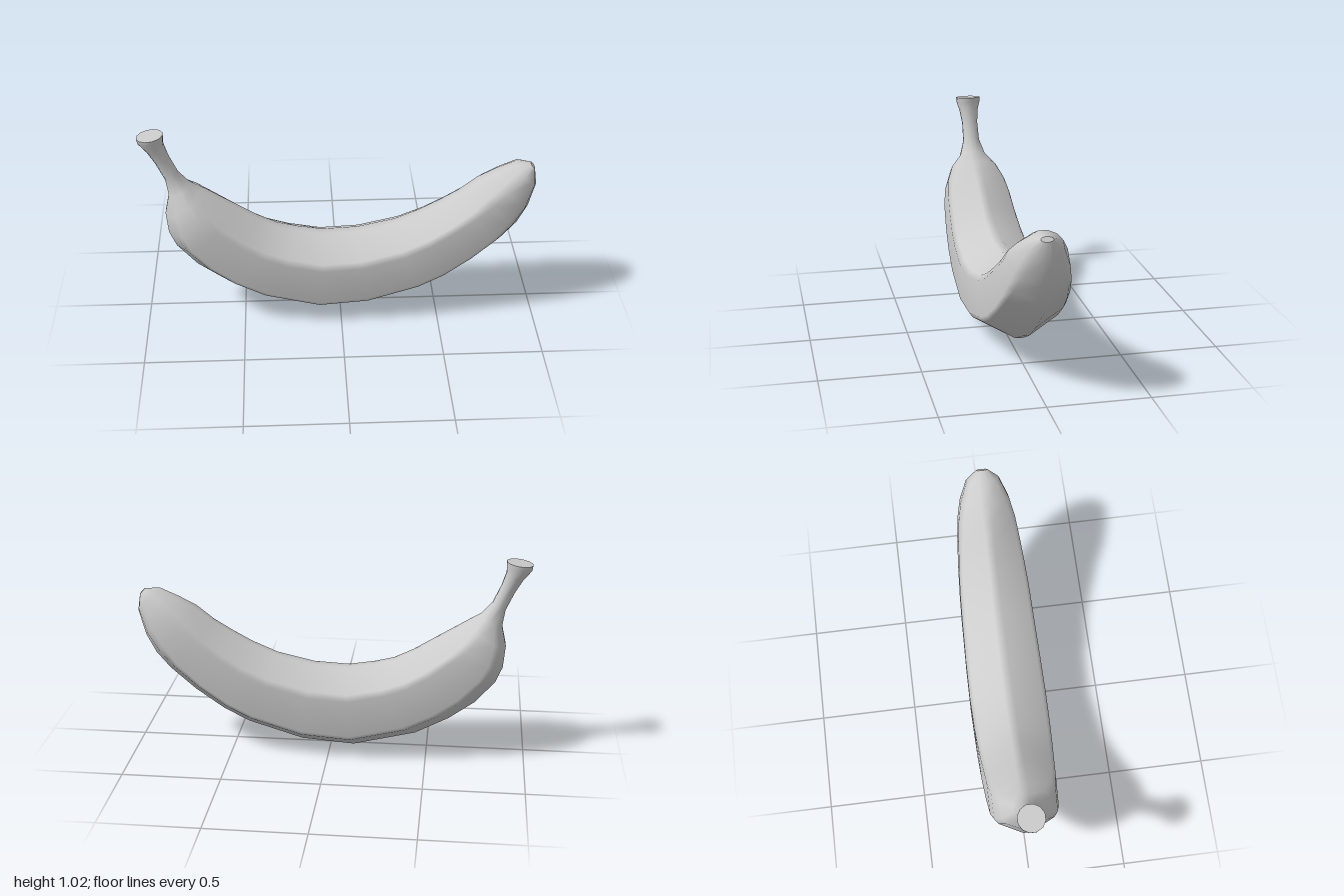
import * as THREE from 'three';

// Half outlines from outer ridge to inner ridge: [position across 0..1, half width 0..1]
const ridged = [[0, 0.1], [0.225, 0.92], [0.28, 1], [0.72, 1], [0.79, 0.9], [1, 0.12]];
const round = ridged.map((_, i) => {
  const a = THREE.MathUtils.degToRad(15 + 30 * i);
  return [0.5 - 0.52 * Math.cos(a), Math.sin(a)];
});

// One closed ring between an outer point and an inner point of the side outline
function ring([ox, oy, ix, iy, halfWidth, ridge]) {
  const half = ridged.map(([t, w], i) => [
    THREE.MathUtils.lerp(round[i][0], t, ridge),
    THREE.MathUtils.lerp(round[i][1], w, ridge),
  ]);
  const point = ([t, w], side) => new THREE.Vector3(
    ox + (ix - ox) * t, oy + (iy - oy) * t, side * w * halfWidth);
  return [...half.map((p) => point(p, 1)), ...half.slice().reverse().map((p) => point(p, -1))];
}

// Smooth skin through a list of rings
function skin(rings) {
  const n = rings[0].length, index = [];
  for (let r = 0; r < rings.length - 1; r++) {
    for (let i = 0; i < n; i++) {
      const a = r * n + i, b = r * n + (i + 1) % n;
      index.push(a, a + n, b, b, a + n, b + n);
    }
  }
  const g = new THREE.BufferGeometry().setFromPoints(rings.flat());
  g.setIndex(index);
  g.computeVertexNormals();
  return g;
}

// Flat end over one ring
function cap(points, flip) {
  const n = points.length, index = [];
  const centre = points.reduce((s, p) => s.add(p), new THREE.Vector3()).divideScalar(n);
  for (let i = 0; i < n; i++) {
    const j = (i + 1) % n;
    index.push(n, flip ? j : i, flip ? i : j);
  }
  const g = new THREE.BufferGeometry().setFromPoints([...points, centre]);
  g.setIndex(index);
  g.computeVertexNormals();
  return g;
}

export function createModel() {
  const group = new THREE.Group();
  group.name = 'banana';
  const material = new THREE.MeshStandardMaterial({ color: 0xcccccc, side: THREE.DoubleSide });

  // Stations: outer x, outer y, inner x, inner y, half width, ridge amount
  const stations = [
    // stem
    [-1.0, 1.012, -0.872, 1.028, 0.067, 0],
    [-0.995, 0.985, -0.872, 1.005, 0.065, 0],
    [-0.955, 0.935, -0.872, 0.97, 0.052, 0],
    [-0.918, 0.87, -0.85, 0.9, 0.043, 0],
    [-0.875, 0.775, -0.81, 0.81, 0.045, 0],
    // shoulder
    [-0.862, 0.69, -0.755, 0.745, 0.07, 0.2],
    [-0.885, 0.585, -0.7, 0.71, 0.125, 0.5],
    [-0.875, 0.47, -0.62, 0.66, 0.16, 0.8],
    // body
    [-0.84, 0.385, -0.53, 0.605, 0.173, 1],
    [-0.74, 0.27, -0.42, 0.535, 0.182, 1],
    [-0.61, 0.175, -0.32, 0.485, 0.19, 1],
    [-0.44, 0.085, -0.22, 0.46, 0.196, 1],
    [-0.12, 0.005, -0.09, 0.438, 0.2, 1],
    [0.15, 0.025, 0.09, 0.447, 0.197, 1],
    [0.43, 0.11, 0.28, 0.49, 0.19, 1],
    [0.56, 0.175, 0.41, 0.545, 0.184, 1],
    [0.71, 0.28, 0.51, 0.6, 0.174, 1],
    [0.84, 0.395, 0.61, 0.66, 0.162, 0.9],
    [0.91, 0.48, 0.7, 0.73, 0.15, 0.7],
    [0.96, 0.58, 0.79, 0.775, 0.13, 0.4],
    [0.995, 0.71, 0.89, 0.82, 0.088, 0.1],
    // blunt tip
    [0.985, 0.795, 0.965, 0.815, 0.03, 0],
  ];
  const rings = stations.map(ring);

  const add = (name, geometry) => {
    const mesh = new THREE.Mesh(geometry, material);
    mesh.name = name;
    group.add(mesh);
  };
  add('peel', skin(rings));
  add('stemEnd', cap(rings[0], false));
  add('blossomEnd', cap(rings[rings.length - 1], true));
  return group;
}
